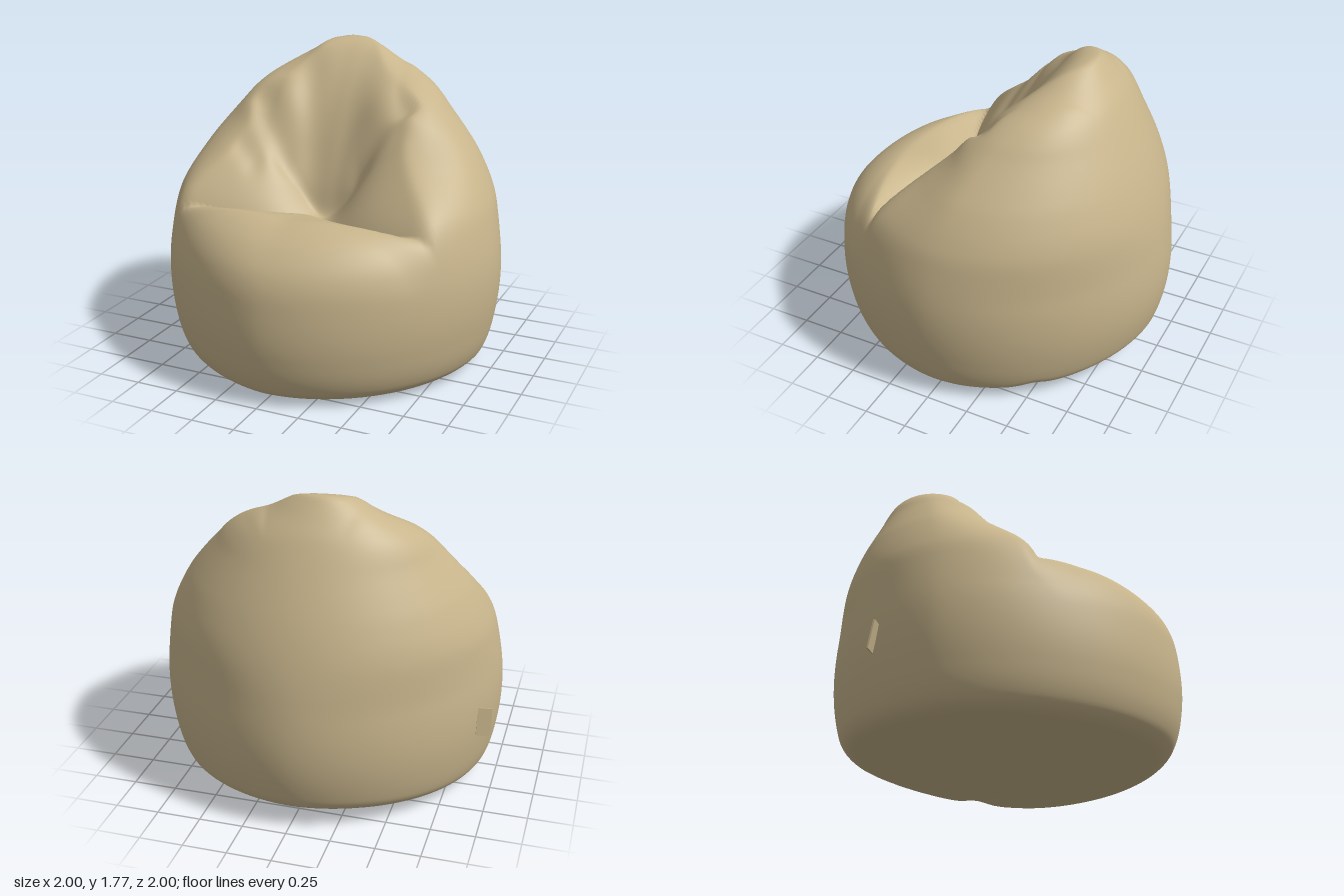
import * as THREE from 'three';
import { mergeVertices } from 'three/addons/utils/BufferGeometryUtils.js';

const { lerp, smoothstep, clamp } = THREE.MathUtils;

// smooth curve through [key, value] pairs
function curve(points) {
  const c = new THREE.CubicInterpolant(
    new Float32Array(points.map(p => p[0])), new Float32Array(points.map(p => p[1])), 1, new Float32Array(1));
  return t => c.evaluate(t)[0];
}

// smooth maximum with blend width k
function smax(a, b, k) {
  const h = Math.max(k - Math.abs(a - b), 0) / k;
  return Math.max(a, b) + h * h * k * 0.25;
}

// outer sack, by height: half width, back depth, front depth and centre
const halfWidth = curve([[-0.1, 0.76], [0, 0.84], [0.05, 0.89], [0.1, 0.925], [0.3, 0.98], [0.6, 1], [0.9, 0.955],
  [1, 0.925], [1.2, 0.82], [1.3, 0.745], [1.43, 0.635], [1.5, 0.575], [1.56, 0.505], [1.62, 0.41], [1.68, 0.31], [1.74, 0.22], [1.8, 0.12]]);
const backZ = curve([[-0.1, -0.8], [0, -0.87], [0.1, -0.92], [0.3, -0.98], [0.5, -1], [0.8, -0.975], [1, -0.935],
  [1.2, -0.87], [1.4, -0.78], [1.6, -0.67], [1.7, -0.6], [1.8, -0.52]]);
const frontZ = curve([[-0.1, 0.78], [0, 0.86], [0.1, 0.94], [0.3, 0.995], [0.55, 0.995], [0.75, 0.955], [0.85, 0.9],
  [0.92, 0.84], [1, 0.74], [1.2, 0.36], [1.32, 0.2], [1.45, 0.13], [1.55, 0.02], [1.62, -0.09], [1.75, -0.25], [1.8, -0.31]]);
const midZ = curve([[0, 0], [0.8, 0], [1.2, -0.1], [1.45, -0.22], [1.65, -0.38], [1.8, -0.42]]);
const shiftX = curve([[0, 0], [1, 0], [1.4, -0.02], [1.8, -0.07]]);

// profile of the backrest pad, from the seat crease to the top
const padRise = curve([[-2, -4], [-0.1, 0.55], [-0.05, 0.7], [0, 0.85], [0.05, 1.02], [0.1, 1.15], [0.2, 1.36],
  [0.3, 1.53], [0.4, 1.66], [0.52, 1.76], [0.7, 1.79], [2, 1.79]]);

// fabric folds: x1, z1, x2, z2, width, depth
const folds = [
  [-0.16, 0.0, -0.24, -0.2, 0.1, 0.05],
  [0.2, 0.07, 0.58, -0.17, 0.07, 0.05],
  [-0.28, 0.08, -0.68, -0.16, 0.08, 0.06],
  [-0.42, 0.2, -0.72, 0.08, 0.07, 0.03],
];
function foldDepth(x, z) {
  let sum = 0;
  for (const [x1, z1, x2, z2, width, depth] of folds) {
    const dx = x2 - x1, dz = z2 - z1;
    const t = clamp(((x - x1) * dx + (z - z1) * dz) / (dx * dx + dz * dz), 0, 1);
    const d = Math.hypot(x - x1 - t * dx, z - z1 - t * dz);
    sum += depth * Math.exp(-((d / width) ** 2));
  }
  return sum;
}

// height of the front lip, the two arm bulges and the backrest pad
function seatHeight(x, z) {
  const ax = Math.sqrt(x * x + 0.003);
  const s = 0.17 + 0.34 * (1 - Math.exp(-ax / 0.3)) - z;
  const crease = 0.8 + 0.15 * ax;
  const lipTop = 0.96 + 0.22 * ax - 0.24 * x * x;
  const swell = 1 - Math.exp(-((x / 0.2) ** 2));
  const front = s < 0
    ? crease + (lipTop - crease) * (1 - Math.exp(s / 0.13))
    : crease + 0.05 * swell * (1 - Math.exp(-s / 0.05)) + (0.3 + 0.85 * swell) * s;
  const rise = padRise(0.12 + 0.12 * smoothstep(ax, 0.05, 0.4) - z);
  const pad = rise - 0.8 * (x + 0.06) ** 2 * smoothstep(rise, 1.4, 1.75);
  return smax(front, pad, 0.06) - foldDepth(x, z) * smoothstep(s, 0, 0.12);
}

// height of the underside, lifted at the back, the right and round the rim
function baseHeight(x, z) {
  const fold = Math.exp(-(((x + z - 0.2) / 0.12) ** 2)) * smoothstep(x - z, 0, 0.4);
  return 0.01 + 0.12 * Math.max(0, -z - 0.1) ** 1.5 + 0.03 * (x * x + z * z) ** 2
    + 0.025 * Math.max(0, -x) + 0.025 * fold;
}

// negative inside the sack, positive outside
function sack(x, y, z) {
  const mid = midZ(y), dz = z - mid;
  const w = Math.max(halfWidth(y), 0.03);
  const depth = Math.max(dz > 0 ? frontZ(y) - mid : mid - backZ(y), 0.03);
  const frontPower = x > 0 ? 1.86 : 1.76;
  const p = lerp(dz > 0 ? frontPower : 1.86, 2, smoothstep(y, 0.7, 1.1));
  const shell = (Math.abs((x - shiftX(y)) / w) ** p + Math.abs(dz / depth) ** p) ** (1 / p) - 1;
  const seat = (y - seatHeight(x, z)) * 0.55;
  // rounder edge on the front lip and the crown
  const soft = Math.max(smoothstep(z, 0.42, 0.65), smoothstep(y, 1.5, 1.7));
  return smax(smax(shell, seat, lerp(0.06, 0.2, soft)), baseHeight(x, z) - y, 0.07);
}

// push each point of a sphere out from the core until it meets the sack
function sackGeometry() {
  const sphere = new THREE.SphereGeometry(1, 240, 200);
  sphere.deleteAttribute('uv');
  sphere.deleteAttribute('normal');
  const geometry = mergeVertices(sphere, 1e-5);
  const pos = geometry.attributes.position;
  const core = new THREE.Vector3(0, 0.42, 0.02), dir = new THREE.Vector3(), q = new THREE.Vector3();
  for (let i = 0; i < pos.count; i++) {
    dir.fromBufferAttribute(pos, i).normalize();
    let inside = 0, outside = 1.7;
    for (let n = 0; n < 22; n++) {
      const t = (inside + outside) / 2;
      q.copy(core).addScaledVector(dir, t);
      if (sack(q.x, q.y, q.z) < 0) inside = t; else outside = t;
    }
    q.copy(core).addScaledVector(dir, inside);
    pos.setXYZ(i, q.x, q.y, q.z);
  }
  geometry.computeBoundingBox();
  geometry.translate(0, -geometry.boundingBox.min.y, 0);
  geometry.computeVertexNormals();
  return geometry;
}

export function createModel() {
  const group = new THREE.Group();
  group.name = 'beanBagChair';
  const fabric = new THREE.MeshStandardMaterial({ color: 0xc8b58c });
  fabric.name = 'tanFabric';

  const body = new THREE.Mesh(sackGeometry(), fabric);
  body.name = 'sackBody';
  group.add(body);

  // small sewn-in side tab
  const tab = new THREE.Mesh(new THREE.BoxGeometry(0.08, 0.16, 0.009), fabric);
  tab.name = 'sideTab';
  tab.position.set(-0.955, 0.48, -0.34);
  tab.rotation.set(0.2, 0.2, 0);
  group.add(tab);
  return group;
}
